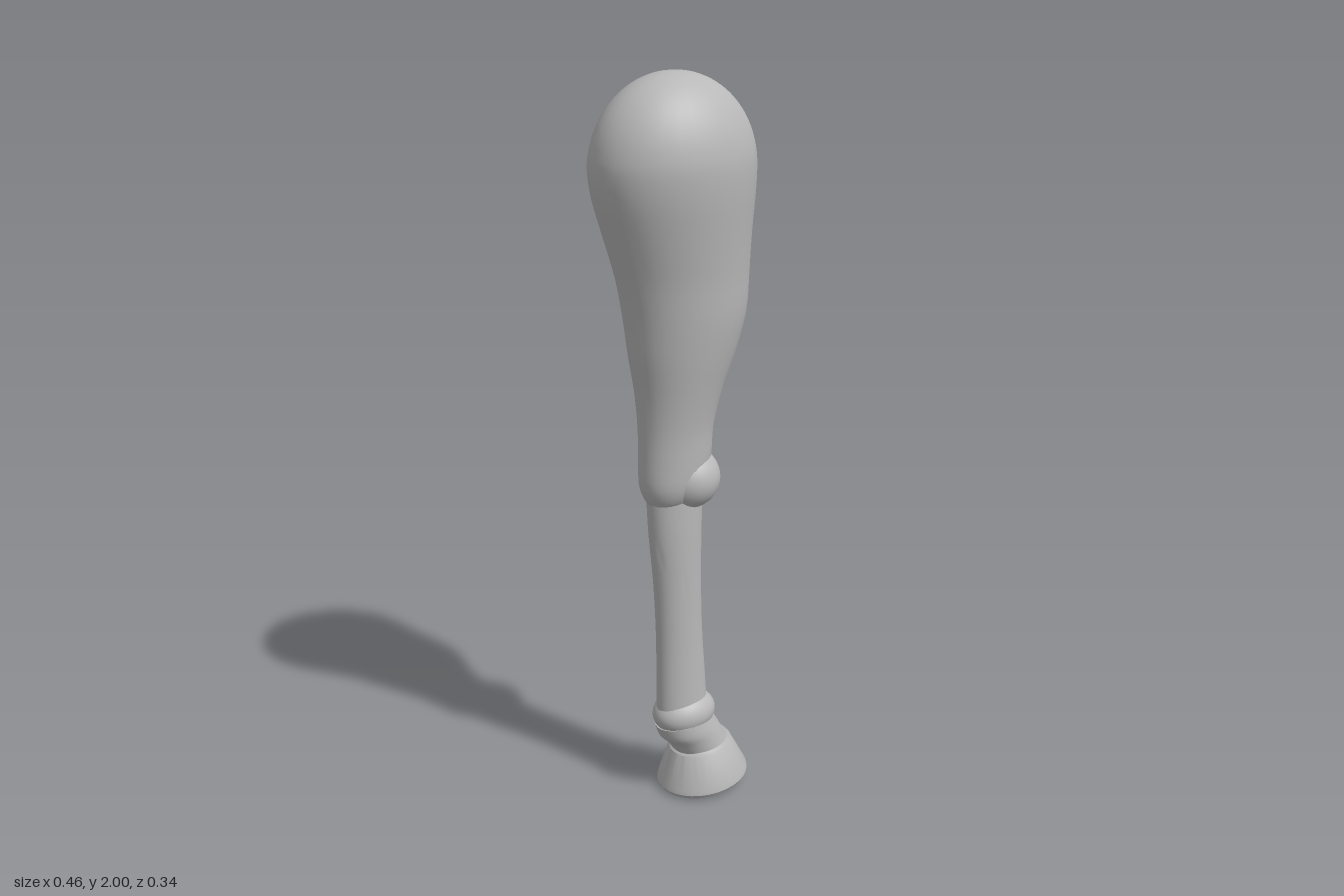
import * as THREE from 'three';
import { toCreasedNormals } from 'three/addons/utils/BufferGeometryUtils.js';

// Skin of elliptical sections, listed top to bottom.
// Section: [back x, back y, front x, front y, half width in z]
function loft(sections, { smooth = true, sides = 32, crease = 0.7 } = {}) {
  const tension = smooth ? 0.5 : 0;
  const back = new THREE.CatmullRomCurve3(sections.map(s => new THREE.Vector3(s[0], s[1], s[4])), false, 'catmullrom', tension);
  const front = new THREE.CatmullRomCurve3(sections.map(s => new THREE.Vector3(s[2], s[3], s[4])), false, 'catmullrom', tension);
  const rows = (sections.length - 1) * (smooth ? 3 : 1);
  const pos = [], index = [];
  for (let i = 0; i <= rows; i++) {
    const b = back.getPoint(i / rows), f = front.getPoint(i / rows);
    for (let j = 0; j < sides; j++) {
      const a = j / sides * Math.PI * 2, c = Math.cos(a);
      pos.push((b.x + f.x) / 2 + c * (f.x - b.x) / 2, (b.y + f.y) / 2 + c * (f.y - b.y) / 2, Math.sin(a) * b.z);
    }
  }
  for (let i = 0; i < rows; i++) for (let j = 0; j < sides; j++) {
    const p = i * sides + j, q = i * sides + (j + 1) % sides;
    index.push(p, q, p + sides, q, q + sides, p + sides);
  }
  // end caps
  for (const [row, s, top] of [[0, sections[0], true], [rows, sections[sections.length - 1], false]]) {
    const c = pos.length / 3;
    pos.push((s[0] + s[2]) / 2, (s[1] + s[3]) / 2, 0);
    for (let j = 0; j < sides; j++) {
      const p = row * sides + j, q = row * sides + (j + 1) % sides;
      if (top) index.push(c, q, p); else index.push(c, p, q);
    }
  }
  const g = new THREE.BufferGeometry();
  g.setAttribute('position', new THREE.Float32BufferAttribute(pos, 3));
  g.setIndex(index);
  return toCreasedNormals(g, crease);
}

// Level section
const level = (y, x0, x1, z) => [x0, y, x1, y, z];

export function createModel() {
  const leg = new THREE.Group();
  leg.name = 'horseLeg';
  const grey = new THREE.MeshStandardMaterial({ color: 0xb8b8b8 });
  grey.name = 'grey';
  const add = (name, geometry) => {
    const m = new THREE.Mesh(geometry, grey);
    m.name = name;
    leg.add(m);
    return m;
  };
  const ball = (name, x, y, rx, ry, rz) => {
    const m = add(name, new THREE.SphereGeometry(1, 32, 20));
    m.position.set(x, y, 0);
    m.scale.set(rx, ry, rz);
  };

  // Domed shoulder running into the tapering upper leg
  const dome = [];
  for (let i = 0; i < 8; i++) {
    const a = Math.PI / 2 * (1 - i / 8), c = Math.max(Math.cos(a), 0.002);
    dome.push(level(1.77 + 0.23 * Math.sin(a), -0.006 - 0.224 * c, -0.006 + 0.224 * c, 0.168 * c));
  }
  add('upperLeg', loft([
    ...dome,
    level(1.77, -0.23, 0.218, 0.168),
    level(1.70, -0.22, 0.216, 0.163),
    level(1.60, -0.19, 0.209, 0.149),
    level(1.50, -0.16, 0.206, 0.136),
    level(1.40, -0.141, 0.20, 0.128),
    level(1.30, -0.128, 0.172, 0.114),
    level(1.20, -0.112, 0.133, 0.096),
    level(1.10, -0.105, 0.108, 0.081),
    level(1.02, -0.105, 0.103, 0.077),
    level(0.95, -0.104, 0.085, 0.073),
    level(0.91, -0.092, 0.06, 0.06),
    level(0.885, -0.075, 0.02, 0.04),
  ]));

  ball('knee', 0.036, 0.951, 0.09, 0.086, 0.09);

  add('cannon', loft([
    level(0.92, -0.085, 0.08, 0.056),
    level(0.80, -0.078, 0.077, 0.055),
    level(0.65, -0.064, 0.077, 0.051),
    level(0.50, -0.057, 0.082, 0.049),
    level(0.38, -0.056, 0.091, 0.05),
    level(0.25, -0.056, 0.10, 0.054),
  ]));

  ball('fetlock', 0.029, 0.245, 0.094, 0.064, 0.074);

  // Slanting pastern between fetlock and hoof
  add('pastern', loft([
    [-0.058, 0.215, 0.105, 0.25, 0.07],
    [-0.045, 0.18, 0.122, 0.213, 0.075],
    [-0.02, 0.155, 0.142, 0.178, 0.074],
    [0.002, 0.12, 0.162, 0.138, 0.074],
  ]));

  // Flared hoof with a small bevel at the ground
  add('hoof', loft([
    [0.003, 0.128, 0.163, 0.15, 0.078],
    [-0.006, 0.12, 0.175, 0.138, 0.086],
    [-0.038, 0.026, 0.225, 0.046, 0.118],
    [-0.041, 0.013, 0.228, 0.034, 0.12],
    [-0.033, 0.0, 0.222, 0.027, 0.114],
  ], { smooth: false, crease: 0.5 }));

  return leg;
}
